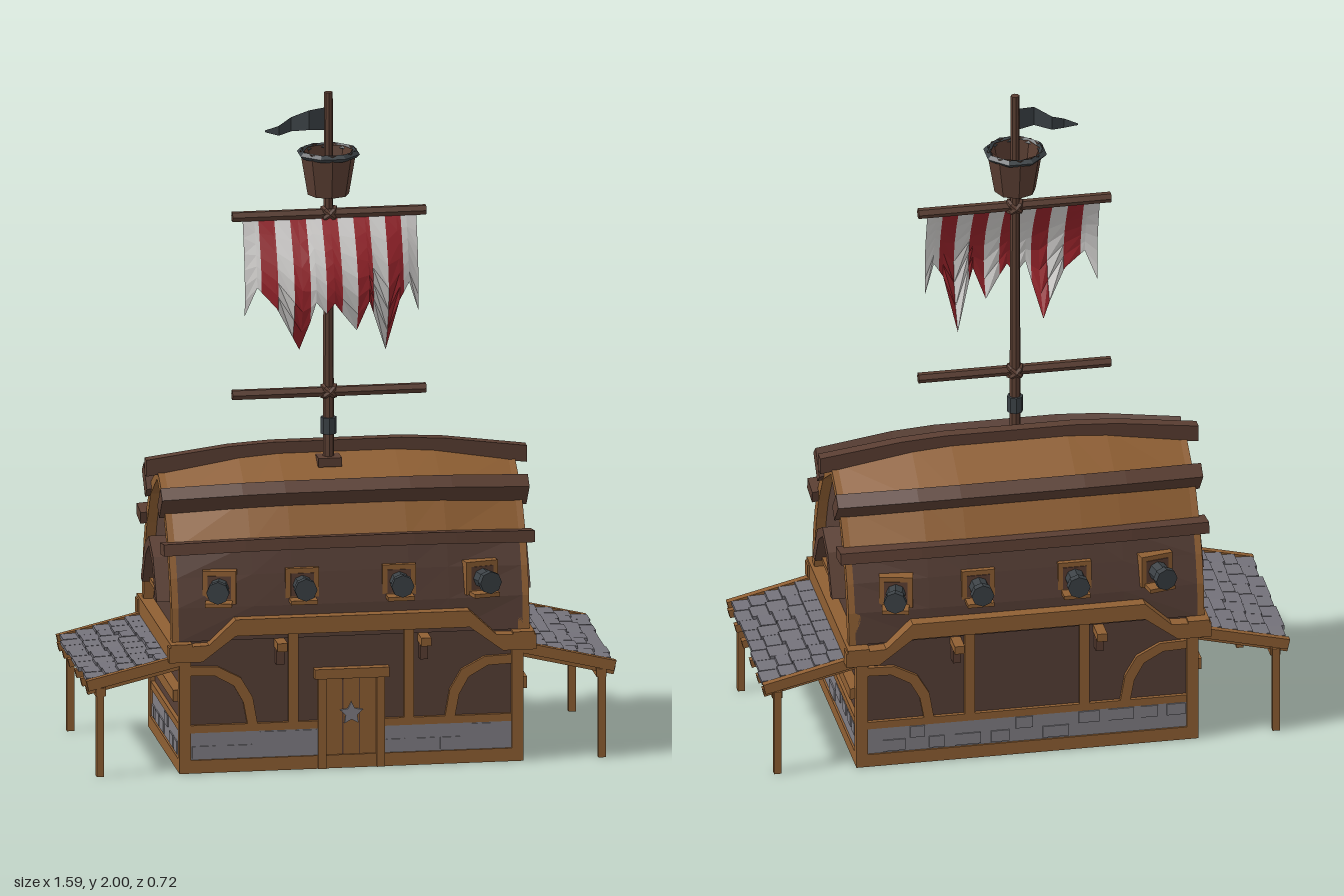
import * as THREE from 'three';

const mat = (name, color) => {
  const m = new THREE.MeshStandardMaterial({ color, side: THREE.DoubleSide });
  m.name = name;
  return m;
};

export function createModel() {
  const M = {
    wood: mat('lightWood', 0x8f5f33), wall: mat('wallBrown', 0x573f36), dark: mat('darkWood', 0x5a3e32),
    stone: mat('stoneGrey', 0x807e84), slate: mat('slateGrey', 0x74727a), iron: mat('iron', 0x3b4145),
    red: mat('sailRed', 0x96232a), white: mat('sailWhite', 0xd2d0ce),
  };
  const root = new THREE.Group();
  root.name = 'shipHouse';
  let seed = 7;
  const rnd = () => (seed = (seed * 16807) % 2147483647) / 2147483647;

  const add = (name, geo, m, x = 0, y = 0, z = 0) => {
    const g = geo.index ? geo.toNonIndexed() : geo;
    g.computeVertexNormals();
    const mesh = new THREE.Mesh(g, m);
    mesh.name = name;
    mesh.position.set(x, y, z);
    root.add(mesh);
    return mesh;
  };
  const box = (name, m, x0, x1, y0, y1, z0, z1) =>
    add(name, new THREE.BoxGeometry(Math.abs(x1 - x0), y1 - y0, Math.abs(z1 - z0)), m, (x0 + x1) / 2, (y0 + y1) / 2, (z0 + z1) / 2);
  const cyl = (name, m, rt, rb, h, n, x, y, z, open = false) =>
    add(name, new THREE.CylinderGeometry(rt, rb, h, n, 1, open), m, x, y, z);
  // square beam between two points
  const beam = (name, m, a, b, w, h) => {
    const A = new THREE.Vector3(...a), B = new THREE.Vector3(...b);
    const o = add(name, new THREE.BoxGeometry(w, h, A.distanceTo(B)), m);
    o.position.copy(A).add(B).multiplyScalar(0.5);
    o.lookAt(B);
    return o;
  };
  // skin over rows of [x, y, z] points, optionally a closed and capped bar
  const loft = (name, rows, m, bar = false) => {
    const n = rows[0].length, p = rows.flat(2), idx = [];
    for (let i = 0; i < rows.length - 1; i++)
      for (let j = 0; j < (bar ? n : n - 1); j++) {
        const a = i * n + j, b = i * n + (j + 1) % n;
        idx.push(a, b, b + n, a, b + n, a + n);
      }
    if (bar) for (const o of [0, (rows.length - 1) * n]) idx.push(o, o + 1, o + 2, o, o + 2, o + 3);
    const g = new THREE.BufferGeometry();
    g.setAttribute('position', new THREE.Float32BufferAttribute(p, 3));
    g.setIndex(idx);
    return add(name, g, m);
  };
  // flat outline in the xy plane, pushed out along z
  const plate = (name, pts, depth, m, holes = []) => {
    const s = new THREE.Shape(pts.map((p) => new THREE.Vector2(...p)));
    holes.forEach((h) => s.holes.push(new THREE.Path(h.map((p) => new THREE.Vector2(...p)))));
    return add(name, new THREE.ExtrudeGeometry(s, { depth, bevelEnabled: false }), m);
  };

  // bulging upper hull: half profile [z, y, extra z, extra y] swelling towards the middle
  const prof = [[0.285, 0.40, 0, 0], [0.275, 0.5, 0.01, 0], [0.25, 0.585, 0.02, 0.01], [0.215, 0.665, 0.035, 0.02], [0.135, 0.78, 0.045, 0.025], [0, 0.86, 0, 0.045]];
  const stations = [[-1, 0], [-0.57, 0.8], [-0.34, 1], [0.34, 1], [0.57, 0.8], [1, 0]];
  const at = (p, k, s) => [p[1] + k * p[3], s * (p[0] + k * p[2])];
  const hull = (name, pts, m, s, len) =>
    loft(name, stations.map(([u, k]) => pts.map((p) => [u * len, ...at(p, k, s)])), m);
  const strake = (name, p, ang, w, h, len, s) => loft(name, stations.map(([u, k]) => {
    const [y, z] = at(p, k, s), c = Math.cos(ang), d = Math.sin(ang);
    return [[-1, -1], [1, -1], [1, 1], [-1, 1]].map(([a, b]) =>
      [u * len, y + a * w / 2 * d + b * h / 2 * c, z + s * (a * w / 2 * c - b * h / 2 * d)]);
  }), M.dark, true);
  for (const s of [1, -1]) {
    hull('hullSide', prof.slice(0, 4), M.wall, s, 0.515);
    hull('roof', prof.slice(3), M.wood, s, 0.515);
    strake('lowerStrake', [0.222, 0.668, 0.035, 0.015], 0.15, 0.075, 0.035, 0.555, s);
    strake('upperStrake', [0.145, 0.79, 0.045, 0.02], 0.85, 0.09, 0.045, 0.55, s);
  }
  strake('ridgeBeam', [0, 0.865, 0, 0.04], 0, 0.035, 0.05, 0.57, 1);

  // gables with arched frames, windows and hoods
  const outline = [...prof.map((p) => [p[0], p[1]]), ...prof.slice(0, 5).reverse().map((p) => [-p[0], p[1]])];
  const inner = outline.map(([z, y]) => [z * 0.88, 0.40 + (y - 0.40) * 0.93]);
  const hoodOut = [[-0.15, 0.49], [-0.12, 0.485], [-0.06, 0.585], [0, 0.625], [0.06, 0.585], [0.12, 0.485], [0.15, 0.49], [0.08, 0.61], [0, 0.655], [-0.08, 0.61]];
  const win = (f, b) => [[-0.085, 0.5], [0.085, 0.5], [0.05, 0.575], [0, 0.61], [-0.05, 0.575]].map(([z, y]) => [z * f, b + (y - 0.5) * f]);
  for (const s of [1, -1]) {
    const face = (o, x) => { o.rotation.y = s * Math.PI / 2; o.position.x = s * x; };
    face(plate('gableWall', outline, 0.01, M.wall), 0.495);
    face(plate('gableFrame', outline, 0.035, M.wood, [inner]), 0.5);
    face(plate('windowHood', hoodOut, 0.055, M.dark), 0.505);
    face(plate('windowFrame', win(1.1, 0.495), 0.02, M.wood, [win(0.85, 0.507)]), 0.505);
    face(plate('windowPane', win(0.9, 0.505), 0.006, M.white), 0.506);
    box('windowSill', M.wood, s * 0.5, s * 0.54, 0.485, 0.5, -0.11, 0.11);
    for (const z of [-0.03, 0.03]) box('windowBar', M.dark, s * 0.505, s * 0.518, 0.5, 0.585, z - 0.006, z + 0.006);
    box('windowCrossBar', M.dark, s * 0.505, s * 0.518, 0.545, 0.555, -0.06, 0.06);
    box('gableTieBeam', M.wood, s * 0.48, s * 0.545, 0.345, 0.4, -0.32, 0.32);
  }

  // gun ports and cannons
  for (const s of [1, -1]) for (const x of [-0.39, -0.145, 0.145, 0.39]) {
    const g = new THREE.Group();
    g.name = 'gunPort';
    const part = (name, geo, m, y, z, rx = 0) => {
      const o = add(name, geo, m, 0, y, z);
      o.rotation.x = rx;
      g.add(o);
    };
    part('portFrame', new THREE.BoxGeometry(0.1, 0.1, 0.035), M.wood, 0, 0);
    part('portOpening', new THREE.BoxGeometry(0.07, 0.07, 0.008), M.dark, 0, 0.016);
    part('barrel', new THREE.CylinderGeometry(0.026, 0.03, 0.085, 8), M.iron, 0, 0.045, Math.PI / 2);
    part('muzzle', new THREE.CylinderGeometry(0.034, 0.034, 0.022, 8), M.iron, 0, 0.078, Math.PI / 2);
    part('portLedge', new THREE.BoxGeometry(0.08, 0.012, 0.06), M.wood, -0.045, 0.03);
    g.position.set(x, 0.56, s * 0.264);
    g.rotation.y = (s > 0 ? 0 : Math.PI) + s * Math.sign(x) * (Math.abs(x) > 0.3 ? 0.22 : 0);
    root.add(g);
  }

  // stone footing, a band with raised blocks, along x or along z
  const footing = (a, b, c, alongX) => {
    const put = (u0, u1, y0, y1, t) => alongX ? box('stoneFooting', M.stone, u0, u1, y0, y1, c - t, c + t)
      : box('stoneFooting', M.stone, c - t, c + t, y0, y1, u0, u1);
    put(a, b, 0.04, 0.122, 0.014);
    for (let u = a; u < b - 0.05;) {
      const w = Math.min(0.05 + rnd() * 0.04, b - u), y = rnd() < 0.5 ? 0.045 : 0.083;
      put(u + 0.004, u + w - 0.004, y, y + 0.036, 0.018);
      u += w + rnd() * 0.03;
    }
  };

  // ground floor walls and timber framing, open underneath
  const belt = [[-0.55, 0.345], [-0.45, 0.345], [-0.35, 0.42], [0.35, 0.42], [0.45, 0.345], [0.55, 0.345], [0.55, 0.39], [0.43, 0.395], [0.35, 0.47], [-0.35, 0.47], [-0.43, 0.395], [-0.55, 0.39]];
  box('upperFloor', M.wall, -0.5, 0.5, 0.395, 0.405, -0.28, 0.28);
  for (const s of [1, -1]) {
    const z = s * 0.275;
    box('longWall', M.wall, -0.5, 0.5, 0.04, 0.45, z - 0.005, z + 0.005);
    box('endWall', M.wall, s * 0.49, s * 0.5, 0.04, 0.4, -0.275, 0.275);
    box('longSill', M.wood, -0.515, 0.515, 0, 0.04, s * 0.255, s * 0.295);
    box('endSill', M.wood, s * 0.475, s * 0.515, 0, 0.04, -0.255, 0.255);
    box('endRail', M.wood, s * 0.49, s * 0.512, 0.122, 0.145, -0.27, 0.27);
    box('endMidBeam', M.wood, s * 0.49, s * 0.53, 0.215, 0.25, -0.27, 0.27);
    footing(-0.25, 0.25, s * 0.495, false);
    for (const [a, b] of s > 0 ? [[-0.48, -0.1], [0.1, 0.48]] : [[-0.48, 0.48]]) {
      footing(a, b, z, true);
      box('longRail', M.wood, a, b, 0.122, 0.145, s * 0.265, s * 0.292);
    }
    plate('beltBeam', belt, 0.04, M.wood).position.z = s > 0 ? 0.28 : -0.32;
    for (const t of [1, -1]) {
      box('cornerPost', M.wood, t * 0.48, t * 0.515, 0.04, 0.36, s * 0.262, s * 0.295);
      box('wallPost', M.wood, t * 0.158, t * 0.188, 0.14, 0.43, s * 0.27, s * 0.292);
      box('bracketArm', M.wood, t * 0.2, t * 0.23, 0.375, 0.4, s * 0.27, s * 0.352);
      box('hangingPeg', M.dark, t * 0.203, t * 0.227, 0.325, 0.378, s * 0.27, s * 0.31);
      const arc = [[0.49, 0.325], [0.4, 0.322], [0.33, 0.285], [0.295, 0.225], [0.28, 0.14], [0.31, 0.14], [0.323, 0.21], [0.352, 0.262], [0.41, 0.295], [0.49, 0.298]];
      plate('curvedBrace', arc.map(([x, y]) => [t * x, y]), 0.02, M.wood).position.z = s > 0 ? 0.272 : -0.292;
    }
  }

  // door with a plain iron star
  box('door', M.wood, -0.075, 0.075, 0, 0.275, 0.265, 0.288);
  for (const x of [-0.025, 0.025]) box('doorSeam', M.dark, x - 0.002, x + 0.002, 0.02, 0.27, 0.286, 0.29);
  for (const t of [1, -1]) box('doorJamb', M.wood, t * 0.075, t * 0.1, 0, 0.28, 0.262, 0.3);
  box('doorLintel', M.wood, -0.112, 0.112, 0.275, 0.305, 0.262, 0.308);
  const star = Array.from({ length: 10 }, (_, i) => {
    const r = i % 2 ? 0.018 : 0.036, a = i * Math.PI / 5 + Math.PI / 2;
    return [r * Math.cos(a), 0.165 + r * Math.sin(a)];
  });
  plate('doorStar', star, 0.008, M.stone).position.z = 0.289;

  // slate awnings on posts
  for (const s of [1, -1]) {
    const yAt = (x) => 0.338 - (x - 0.52) * 0.24;
    for (const z of [-0.26, -0.17, -0.065, 0.065, 0.17, 0.27])
      beam('awningRafter', M.wood, [s * 0.5, yAt(0.5) - 0.012, z], [s * 0.79, yAt(0.79) - 0.012, z], 0.022, 0.025);
    for (const z of [-0.275, 0.285]) {
      beam('awningEdge', M.wood, [s * 0.51, yAt(0.51) + 0.005, z], [s * 0.79, yAt(0.79) + 0.005, z], 0.02, 0.032);
      box('awningPost', M.wood, s * 0.74, s * 0.762, 0, 0.27, z - 0.015, z + 0.007);
    }
    box('awningPurlin', M.wood, s * 0.735, s * 0.765, 0.245, 0.272, -0.28, 0.29);
    for (let r = 0; r < 5; r++) for (let i = 0; i < 8; i++) {
      const x = 0.525 + r * 0.05, z = -0.23 + i * 0.067, e = x + 0.062 + (rnd() - 0.5) * 0.014;
      beam('slateTile', M.slate, [s * x, yAt(x) + 0.006, z], [s * e, yAt(e) + 0.018, z], 0.065, 0.012);
    }
  }

  // mast, yards and crow's nest
  const mx = -0.03, mz = 0.05;
  cyl('mast', M.dark, 0.013, 0.017, 1.14, 8, mx, 1.43, mz);
  box('mastFoot', M.dark, mx - 0.035, mx + 0.035, 0.865, 0.892, mz - 0.035, mz + 0.035);
  cyl('mastBand', M.iron, 0.024, 0.024, 0.05, 8, mx, 0.985, mz);
  for (const y of [1.09, 1.633]) {
    cyl('yard', M.dark, 0.016, 0.016, 0.58, 6, mx, y, mz + 0.01).rotation.z = Math.PI / 2;
    for (const a of [0.7, -0.7])
      add('yardLashing', new THREE.TorusGeometry(0.024, 0.008, 5, 8), M.dark, mx, y, mz + 0.005).rotation.set(Math.PI / 2, a, 0);
  }
  cyl('nestWall', M.dark, 0.085, 0.062, 0.135, 8, mx, 1.757, mz, true);
  cyl('nestInside', M.dark, 0.074, 0.052, 0.13, 8, mx, 1.757, mz, true);
  cyl('nestFloor', M.dark, 0.064, 0.062, 0.015, 8, mx, 1.698, mz);
  add('nestHoop', new THREE.TorusGeometry(0.085, 0.011, 4, 8), M.iron, mx, 1.815, mz).rotation.set(Math.PI / 2, 0, Math.PI / 8);

  // pennant
  const fl = [[0, 1.955, 1.885, 0], [-0.06, 1.95, 1.89, 0.015], [-0.11, 1.925, 1.882, -0.01], [-0.15, 1.905, 1.875, 0.01], [-0.19, 1.89, 1.885, 0]];
  loft('pennant', fl.map(([x, a, b, z]) => [[mx + x, a, mz + z], [mx + x, b, mz + z]]), M.iron);

  // torn striped sail
  const hem = [[-0.29, 1.34], [-0.255, 1.43], [-0.2, 1.37], [-0.125, 1.23], [-0.085, 1.39], [-0.055, 1.35], [-0.03, 1.385], [0.04, 1.29], [0.075, 1.385], [0.135, 1.215], [0.17, 1.38], [0.2, 1.43], [0.23, 1.34]];
  const hemAt = (x) => {
    const i = Math.max(1, hem.findIndex((h) => h[0] >= x - 1e-6)), [a, b] = [hem[i - 1], hem[i]];
    return THREE.MathUtils.lerp(a[1], b[1], (x - a[0]) / (b[0] - a[0]));
  };
  const W = 0.52 / 11;
  for (let i = 0; i < 11; i++) {
    const x0 = -0.29 + i * W, x1 = i === 10 ? 0.23 : x0 + W;
    const xs = [x0, ...hem.map((h) => h[0]).filter((x) => x > x0 + 0.002 && x < x1 - 0.002), x1];
    loft('sailStripe', xs.map((x) => {
      const u = (x - mx) / 0.26, low = hemAt(x), row = [];
      for (let j = 0; j <= 6; j++) {
        const y = 1.62 - (1.62 - low) * j / 6;
        row.push([x, y, 0.07 + 0.105 * Math.sin(Math.PI * (1.62 - y) / 0.43) * (1 - 0.6 * u * u)]);
      }
      return row;
    }), i % 2 ? M.red : M.white);
  }
  return root;
}
